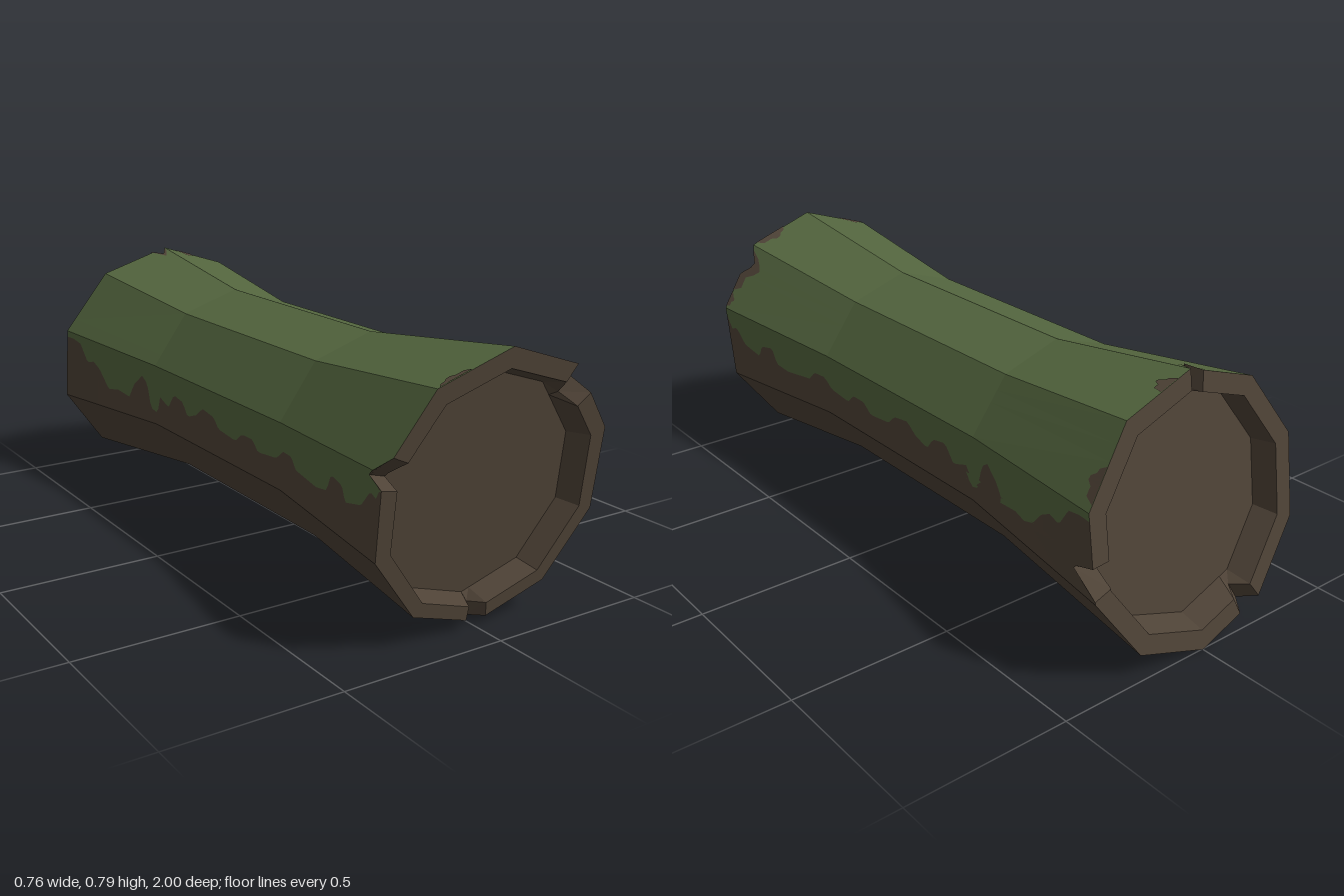
import * as THREE from 'three';

const RAD = Math.PI / 180, CY = 0.4, MID_R = 0.322, DISC_DEPTH = 0.075;

// Each end: slanted cut plane, start of the flare, and V notches [from, tip, to, depth] in degrees
const ENDS = {
  front: {
    dir: 1, zMid: 0.4, z: y => 0.95 + 0.125 * (y - CY), r: t => 0.388 + 0.008 * Math.sin(t * RAD),
    notches: [[38, 45, 54, 0.055], [155, 164, 168, 0.055], [264, 270, 274.5, 0.05]],
  },
  back: {
    dir: -1, zMid: -0.37, z: y => -0.943 + 0.15 * (y - CY), r: () => 0.397,
    notches: [[-17, -8, -4, 0.075], [90, 94, 97, 0.05], [234, 240, 246, 0.05]],
  },
};

// Wavy lower edge of the moss on the side faces: [z, y]
const MOSS_EDGE = [
  [-1, 0.5], [-0.9, 0.5], [-0.85, 0.49], [-0.8, 0.43], [-0.76, 0.44], [-0.72, 0.42], [-0.66, 0.36], [-0.6, 0.37],
  [-0.53, 0.36], [-0.5, 0.41], [-0.45, 0.45], [-0.42, 0.43], [-0.4, 0.35], [-0.36, 0.34], [-0.34, 0.4], [-0.28, 0.38],
  [-0.24, 0.43], [-0.18, 0.42], [-0.15, 0.38], [-0.09, 0.4], [-0.05, 0.43], [0.02, 0.42], [0.05, 0.39], [0.15, 0.38],
  [0.19, 0.41], [0.25, 0.41], [0.28, 0.38], [0.38, 0.39], [0.42, 0.42], [0.47, 0.42], [0.5, 0.39], [0.62, 0.38],
  [0.68, 0.39], [0.7, 0.44], [0.76, 0.43], [0.78, 0.39], [0.86, 0.41], [0.9, 0.46], [0.93, 0.45], [0.95, 0.5], [1, 0.5],
];

const lerp = THREE.MathUtils.lerp, clamp = THREE.MathUtils.clamp;

// Radius of a ten-sided outline relative to its corner radius
const decagon = t => Math.cos(18 * RAD) / Math.cos((t - 36 * Math.round(t / 36)) * RAD);
const point = (t, r, z) => [r * decagon(t) * Math.cos(t * RAD), CY + r * decagon(t) * Math.sin(t * RAD), z];

function notchDepth(end, t) {
  for (const [a, tip, b, d] of end.notches) {
    if (t > a && t < b) return d * (t < tip ? (t - a) / (tip - a) : (b - t) / (b - tip));
  }
  return 0;
}
// End height along z at angle t and radius r, without and with notches
const cutZ = (end, t, r) => end.z(point(t, r, 0)[1]);
const rimZ = (end, t, r) => cutZ(end, t, r) - end.dir * notchDepth(end, t);

// Corner radius of the trunk at angle t and height z
function radiusAt(t, z) {
  const end = z > 0 ? ENDS.front : ENDS.back;
  const k = (z - end.zMid) / (cutZ(end, t, end.r(t)) - end.zMid);
  return MID_R + (end.r(t) - MID_R) * Math.max(0, k);
}

// s runs 0..3: front flare, waist, back flare
function trunkZ(t, s) {
  const { front, back } = ENDS;
  if (s <= 1) return lerp(rimZ(front, t, front.r(t)), front.zMid, s);
  if (s <= 2) return lerp(front.zMid, back.zMid, s - 1);
  return lerp(back.zMid, rimZ(back, t, back.r(t)), s - 2);
}
const trunkPoint = (t, s) => { const z = trunkZ(t, s); return point(t, radiusAt(t, z), z); };

function mossAngle(s) {
  const z = trunkZ(0, s);
  let i = 1;
  while (i < MOSS_EDGE.length - 1 && MOSS_EDGE[i][0] < z) i++;
  const [z0, y0] = MOSS_EDGE[i - 1], [z1, y1] = MOSS_EDGE[i];
  const y = lerp(y0, y1, clamp((z - z0) / (z1 - z0), 0, 1));
  return Math.atan((y - CY) / (radiusAt(0, z) * Math.cos(18 * RAD))) / RAD;
}

const quad = (out, a, b, c, d) => out.push(...a, ...b, ...c, ...a, ...c, ...d);

function toMesh(name, positions, material) {
  const g = new THREE.BufferGeometry();
  g.setAttribute('position', new THREE.Float32BufferAttribute(positions, 3));
  g.computeVertexNormals();
  const mesh = new THREE.Mesh(g, material);
  mesh.name = name;
  return mesh;
}

// Corner angles plus all notch angles
function outlineAngles() {
  const set = new Set();
  for (let k = 0; k <= 10; k++) set.add(-18 + 36 * k);
  for (const e of Object.values(ENDS)) for (const n of e.notches) n.slice(0, 3).forEach(t => set.add(t));
  return [...set].sort((a, b) => a - b);
}

// Trunk wall, divided into bark below and moss above
function buildTrunk(angles) {
  const bark = [], moss = [], steps = 150;
  const strip = (out, a0, a1, b0, b1, s0, s1) => {
    if (b0 - a0 < 1e-6 && b1 - a1 < 1e-6) return;
    quad(out, trunkPoint(a0, s0), trunkPoint(a1, s1), trunkPoint(b1, s1), trunkPoint(b0, s0));
  };
  for (let i = 0; i < angles.length - 1; i++) {
    const a = angles[i], b = angles[i + 1], facet = Math.round((a + b) / 72);
    const side = facet === 0 || facet === 5, n = side ? steps : 3;
    for (let j = 0; j < n; j++) {
      const s0 = 3 * j / n, s1 = 3 * (j + 1) / n;
      if (!side) { strip(facet < 5 ? moss : bark, a, a, b, b, s0, s1); continue; }
      const edge = s => clamp(facet === 0 ? mossAngle(s) : 180 - mossAngle(s), a, b);
      const e0 = edge(s0), e1 = edge(s1);
      strip(facet === 0 ? bark : moss, a, a, e0, e1, s0, s1);
      strip(facet === 0 ? moss : bark, e0, e1, b, b, s0, s1);
    }
  }
  return { bark, moss };
}

// Notched rim, inner wall and recessed face of one end
function buildEnd(end, angles) {
  const rim = [], face = [];
  const face4 = (a, b, c, d) => end.dir > 0 ? quad(rim, a, b, c, d) : quad(rim, d, c, b, a);
  const outer = t => point(t, end.r(t), rimZ(end, t, end.r(t)));
  const inner = t => point(t, 0.338, rimZ(end, t, 0.338));
  const floor = t => point(t, 0.32, cutZ(end, t, 0.32) - end.dir * DISC_DEPTH);
  const centre = [0, CY, end.z(CY) - end.dir * DISC_DEPTH];
  for (let i = 0; i < angles.length - 1; i++) {
    const a = angles[i], b = angles[i + 1];
    face4(outer(a), outer(b), inner(b), inner(a));
    face4(inner(a), inner(b), floor(b), floor(a));
    const [p, q] = end.dir > 0 ? [a, b] : [b, a];
    face.push(...centre, ...floor(p), ...floor(q));
  }
  return { rim, face };
}

// Thin bare patches where moss has worn off beside the rims: [end, from, to, length]
const PATCHES = [
  ['front', 56, 74, 0.05], ['front', 110, 125, 0.03], ['front', 28, 52, 0.06], ['front', 19, 27, 0.03],
  ['back', 73, 83, 0.055], ['back', 90.5, 98, 0.03], ['back', 21, 36, 0.05],
];
function buildPatches() {
  const out = [], n = 8;
  for (const [key, from, to, len] of PATCHES) {
    const end = ENDS[key];
    const pt = (u, inset) => {
      const t = lerp(from, to, u), r = end.r(t);
      const reach = len * Math.sqrt(Math.sin(Math.PI * u)) * (0.8 + 0.2 * Math.sin(u * 14));
      const z = rimZ(end, t, r) - end.dir * (inset ? reach : 0);
      return point(t, radiusAt(t, z) + 0.002, z);
    };
    for (let i = 0; i < n; i++) {
      const u = i / n, v = (i + 1) / n;
      const c = [pt(u, 0), pt(u, 1), pt(v, 1), pt(v, 0)];
      quad(out, ...(end.dir > 0 ? c : c.reverse()));
    }
  }
  return out;
}

export function createModel() {
  const barkMat = new THREE.MeshStandardMaterial({ color: 0x4f4337, flatShading: true });
  barkMat.name = 'bark brown';
  const mossMat = new THREE.MeshStandardMaterial({ color: 0x53653e, flatShading: true });
  mossMat.name = 'moss green';

  const group = new THREE.Group();
  group.name = 'mossyLog';
  const angles = outlineAngles();
  const { bark, moss } = buildTrunk(angles);
  group.add(toMesh('bark', bark, barkMat), toMesh('moss', moss, mossMat));
  for (const [key, end] of Object.entries(ENDS)) {
    const { rim, face } = buildEnd(end, angles);
    group.add(toMesh(key + 'Rim', rim, barkMat), toMesh(key + 'CutFace', face, barkMat));
  }
  group.add(toMesh('barePatches', buildPatches(), barkMat));
  return group;
}
